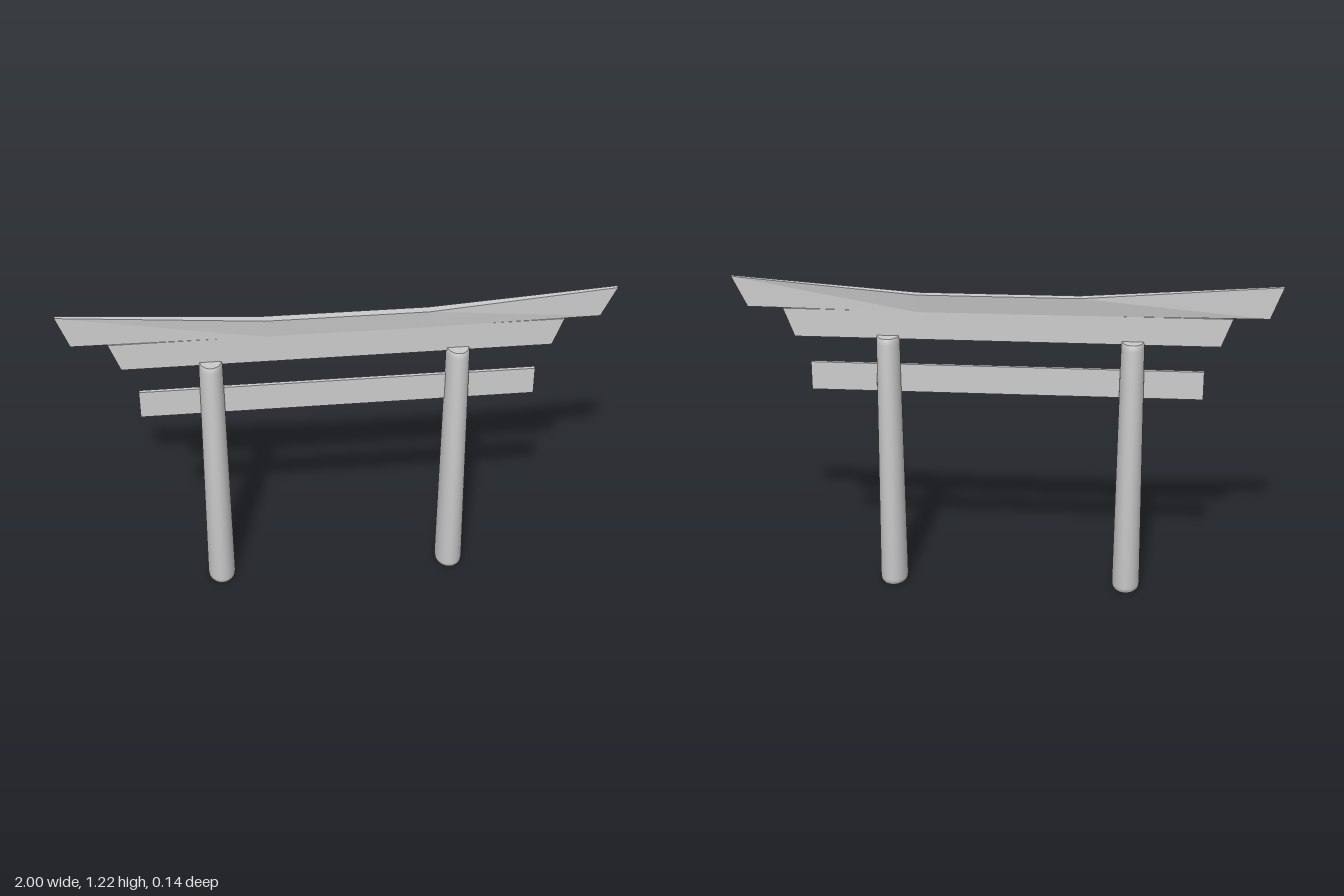
import * as THREE from 'three';
import { toCreasedNormals } from 'three/addons/utils/BufferGeometryUtils.js';

const material = new THREE.MeshStandardMaterial({ color: 0xcccccc });

function addMesh(group, name, geometry) {
  const mesh = new THREE.Mesh(geometry, material);
  mesh.name = name;
  group.add(mesh);
  return mesh;
}

// Beam lofted through four-cornered sections, running from -x to +x.
// Each section: top x, top y, bottom x, bottom y, top z front/back.
function loftBeam(sections, bottomFront, bottomBack) {
  const positions = [];
  const index = [];
  for (const [tx, ty, bx, by, front, back] of sections) {
    positions.push(bx, by, bottomFront, tx, ty, front, tx, ty, back, bx, by, bottomBack);
  }
  for (let s = 0; s < sections.length - 1; s++) {
    for (let k = 0; k < 4; k++) {
      const a = s * 4 + k;
      const b = s * 4 + (k + 1) % 4;
      index.push(a, a + 4, b, b, a + 4, b + 4);
    }
  }
  const e = (sections.length - 1) * 4;
  index.push(0, 1, 2, 0, 2, 3, e, e + 2, e + 1, e, e + 3, e + 2);
  const geometry = new THREE.BufferGeometry();
  geometry.setAttribute('position', new THREE.Float32BufferAttribute(positions, 3));
  geometry.setIndex(index);
  const flat = geometry.toNonIndexed();
  flat.computeVertexNormals();
  return flat;
}

export function createModel() {
  const gate = new THREE.Group();
  gate.name = 'gate';

  // Tapered oval posts with softened rims
  const profile = [
    [0, 0], [0.063, 0], [0.068, 0.006], [0.07, 0.02],
    [0.057, 0.975], [0.056, 0.99], [0.052, 1], [0, 1],
  ].map(([r, y]) => new THREE.Vector2(r, y));
  const postGeometry = toCreasedNormals(new THREE.LatheGeometry(profile, 32), 0.8);
  for (const [name, x] of [['rightPost', -0.467], ['leftPost', 0.43]]) {
    const post = addMesh(gate, name, postGeometry);
    post.position.x = x;
    post.scale.x = 0.755;
  }

  // Tie beam passing through the posts
  const tie = addMesh(gate, 'tieBeam', new THREE.BoxGeometry(1.45, 0.108, 0.014));
  tie.position.set(-0.005, 0.834, 0.004);

  // Lower lintel with slanted ends
  addMesh(gate, 'lowerLintel', loftBeam([
    [-0.825, 1.095, -0.785, 0.988, 0.008, -0.006],
    [0.815, 1.095, 0.775, 0.988, 0.008, -0.006],
  ], 0.008, -0.006));

  // Top lintel: upswept ends, upper edge thickest along the middle
  addMesh(gate, 'topLintel', loftBeam([
    [-1, 1.219, -0.955, 1.099, 0.007, -0.007],
    [-0.27, 1.163, -0.27, 1.094, 0.015, -0.018],
    [0.32, 1.162, 0.32, 1.093, 0.015, -0.018],
    [1, 1.213, 0.945, 1.099, 0.007, -0.007],
  ], 0.008, -0.006));

  return gate;
}
